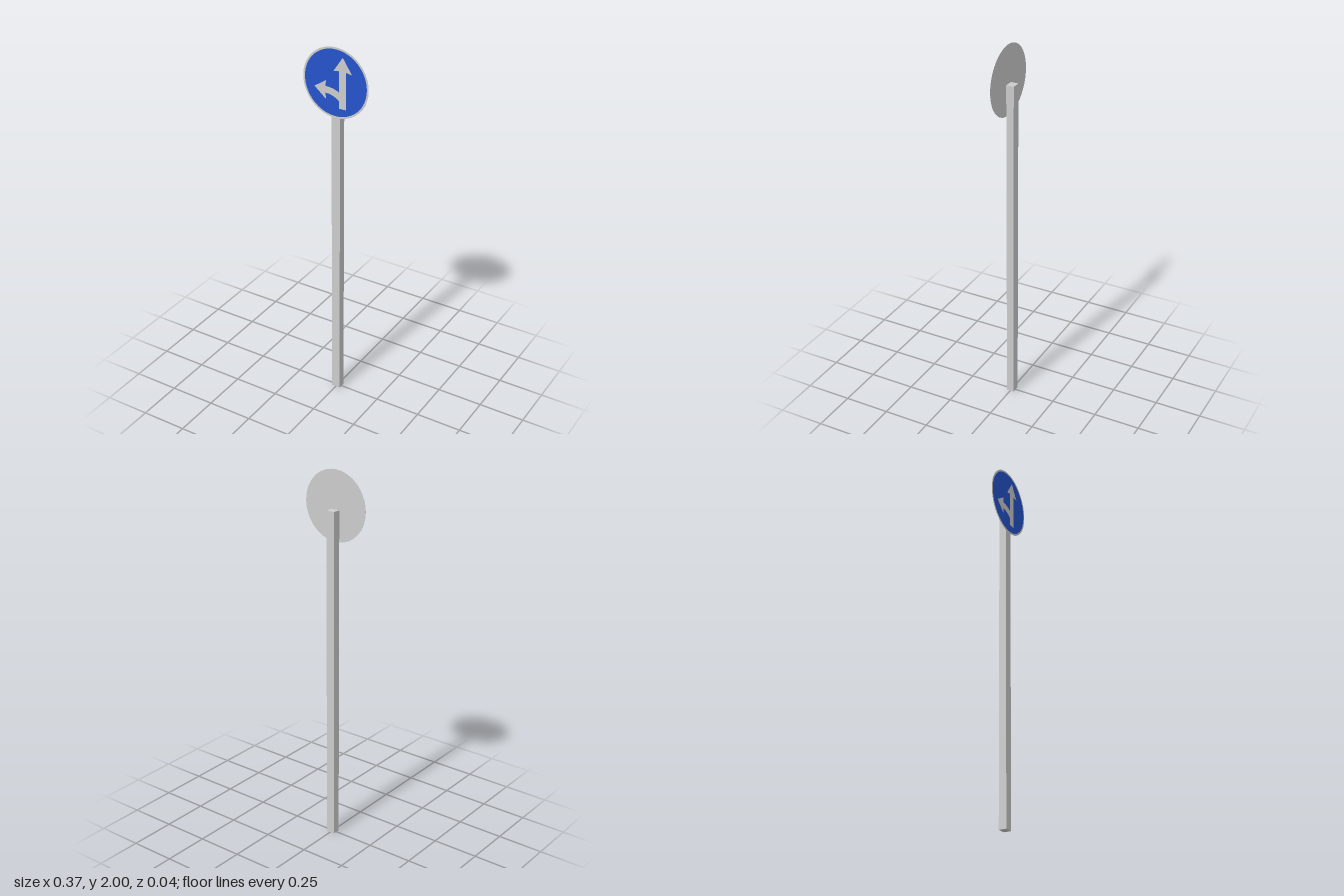
import * as THREE from 'three';

const CENTER_Y = 1.817, RADIUS = 0.183, FACE_RADIUS = 0.173, SEGMENTS = 64;
const BACK_Z = 0.0203, FRONT_Z = 0.021;

// Outline of the forked arrow: straight ahead, with a curved arm to the side
function arrowOutline(path) {
  path.moveTo(0.02, 1.688);
  path.lineTo(0.02, 1.728);
  path.quadraticCurveTo(-0.015, 1.754, -0.057, 1.755);
  path.lineTo(-0.053, 1.721);
  path.lineTo(-0.119, 1.777);
  path.lineTo(-0.053, 1.822);
  path.lineTo(-0.057, 1.79);
  path.quadraticCurveTo(-0.015, 1.791, 0.02, 1.773);
  path.lineTo(0.02, 1.883);
  path.lineTo(-0.012, 1.877);
  path.lineTo(0.04, 1.956);
  path.lineTo(0.092, 1.877);
  path.lineTo(0.058, 1.883);
  path.lineTo(0.058, 1.688);
  path.closePath();
  return path;
}

export function createModel() {
  const model = new THREE.Group();
  model.name = 'roadSign';
  const grey = new THREE.MeshStandardMaterial({ color: 0xcccccc });
  const blue = new THREE.MeshStandardMaterial({ color: 0x2453cc });

  const add = (name, geometry, material, y = 0, z = 0) => {
    const mesh = new THREE.Mesh(geometry, material);
    mesh.name = name;
    mesh.position.set(0, y, z);
    model.add(mesh);
    return mesh;
  };

  // Square post
  add('post', new THREE.BoxGeometry(0.048, 1.8, 0.041), grey, 0.9, -0.0005);

  // Thin round plate: back, edge and front border
  add('plateBack', new THREE.CircleGeometry(RADIUS, SEGMENTS), grey, CENTER_Y, BACK_Z).rotation.y = Math.PI;
  add('plateEdge',
    new THREE.CylinderGeometry(RADIUS, RADIUS, FRONT_Z - BACK_Z, SEGMENTS, 1, true),
    grey, CENTER_Y, (FRONT_Z + BACK_Z) / 2).rotation.x = Math.PI / 2;
  add('border', new THREE.RingGeometry(FACE_RADIUS, RADIUS, SEGMENTS), grey, CENTER_Y, FRONT_Z);

  // Coloured face with the arrow cut out, and the arrow filling the cut
  const face = new THREE.Shape().absarc(0, CENTER_Y, FACE_RADIUS, 0, Math.PI * 2);
  face.holes.push(arrowOutline(new THREE.Path()));
  add('signFace', new THREE.ShapeGeometry(face, SEGMENTS / 2), blue, 0, FRONT_Z);
  add('arrow', new THREE.ShapeGeometry(arrowOutline(new THREE.Shape()), SEGMENTS / 2), grey, 0, FRONT_Z);

  return model;
}
